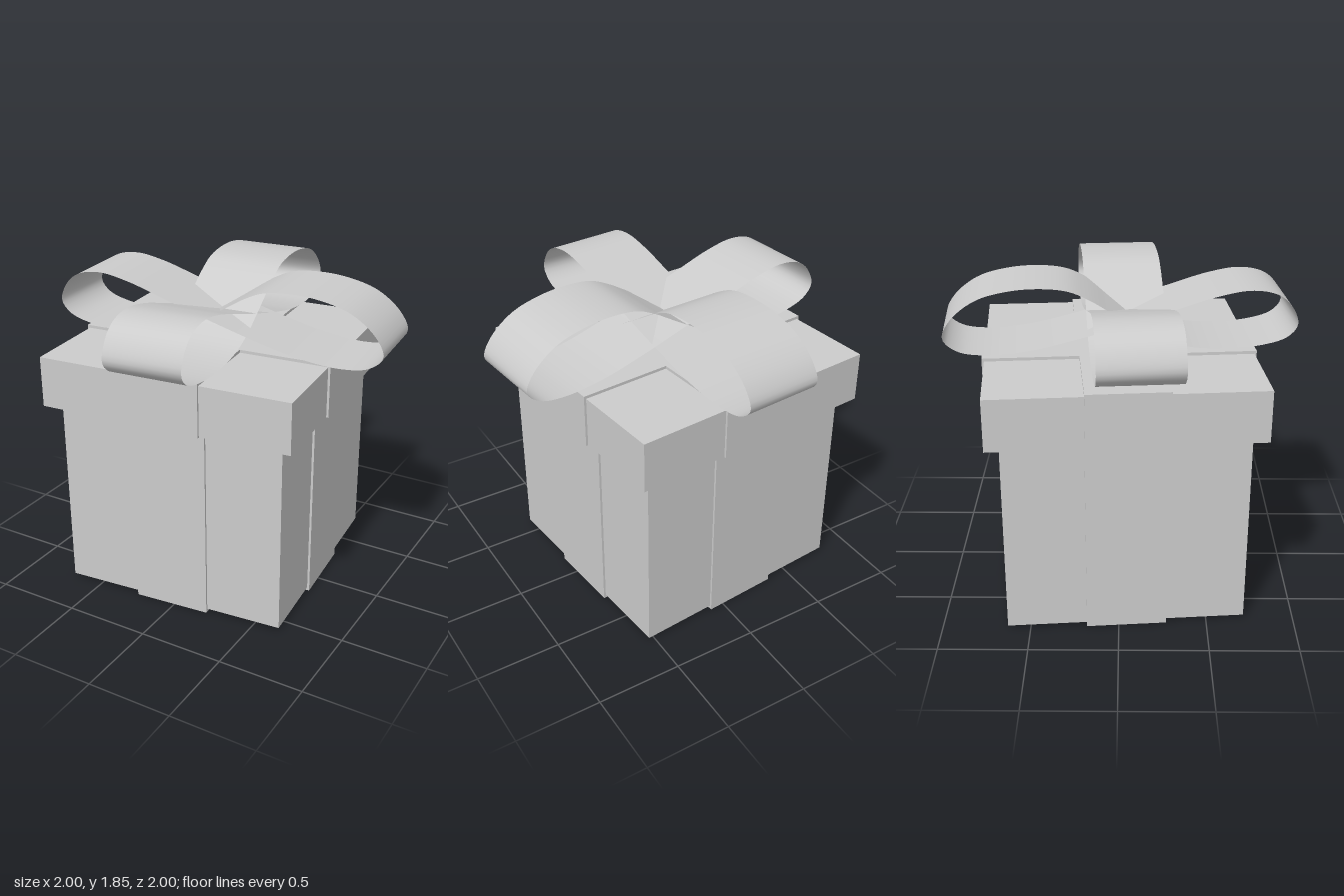
import * as THREE from 'three';

const material = new THREE.MeshStandardMaterial({ color: 0xcccccc });
const ribbonMaterial = new THREE.MeshStandardMaterial({ color: 0xcccccc, side: THREE.DoubleSide });
const HALF_WIDTH = 0.226; // half the width of every ribbon

function add(parent, name, geometry, mat = material) {
  const mesh = new THREE.Mesh(geometry, mat);
  mesh.name = name;
  parent.add(mesh);
  return mesh;
}

// Square block between two heights
function block(half, y0, y1) {
  return new THREE.BoxGeometry(half * 2, y1 - y0, half * 2).translate(0, (y0 + y1) / 2, 0);
}

// Plus-shaped prism: two crossing ribbons wrapped round a block
function cross(half, y0, y1) {
  const w = HALF_WIDTH;
  const corners = [];
  for (let i = 0; i < 4; i++) {
    for (const [x, y] of [[half, -w], [half, w], [w, w]]) {
      const p = new THREE.Vector2(x, y).rotateAround(new THREE.Vector2(), i * Math.PI / 2);
      corners.push(p);
    }
  }
  return new THREE.ExtrudeGeometry(new THREE.Shape(corners), { depth: y1 - y0, bevelEnabled: false })
    .rotateX(-Math.PI / 2).translate(0, y0, 0);
}

// Figure-eight bow: closed profile swept straight across the ribbon width
function bowGeometry() {
  const profile = [
    [0, 1.635], [0.31, 1.55], [0.55, 1.497], [0.79, 1.478], [0.95, 1.507], [1.024, 1.58],
    [0.98, 1.68], [0.84, 1.79], [0.66, 1.84], [0.48, 1.85], [0.33, 1.83], [0.22, 1.78],
    [0.1, 1.705], [-0.02, 1.63], [-0.13, 1.565], [-0.28, 1.507], [-0.5, 1.48], [-0.75, 1.495],
    [-0.89, 1.54], [-0.943, 1.61], [-0.9, 1.72], [-0.82, 1.785], [-0.68, 1.812], [-0.5, 1.785],
    [-0.25, 1.71],
  ].map(([x, y]) => new THREE.Vector3(x, y, 0));
  const points = new THREE.CatmullRomCurve3(profile, true).getSpacedPoints(160);
  const positions = [];
  const index = [];
  points.forEach((p, i) => {
    positions.push(p.x, p.y, HALF_WIDTH, p.x, p.y, -HALF_WIDTH);
    const a = i * 2;
    if (i < points.length - 1) index.push(a, a + 2, a + 1, a + 1, a + 2, a + 3);
  });
  const geometry = new THREE.BufferGeometry();
  geometry.setAttribute('position', new THREE.Float32BufferAttribute(positions, 3));
  geometry.setIndex(index);
  geometry.computeVertexNormals();
  return geometry;
}

export function createModel() {
  const group = new THREE.Group();
  group.name = 'giftBox';

  // Box, lid and the ribbons around them, turned slightly
  const box = new THREE.Group();
  box.name = 'box';
  box.position.set(-0.077, 0, -0.015);
  box.rotation.y = THREE.MathUtils.degToRad(5);
  group.add(box);
  add(box, 'body', block(0.674, 0.02, 1.17));
  add(box, 'bodyRibbon', cross(0.687, 0, 1.165));
  add(box, 'lid', block(0.75, 1.16, 1.455));
  add(box, 'lidRibbon', cross(0.763, 1.158, 1.472));

  // Two crossing figure-eight bows
  const bow = new THREE.Group();
  bow.name = 'bow';
  bow.position.set(-0.041, 0, 0.034);
  bow.rotation.y = box.rotation.y;
  group.add(bow);
  const geometry = bowGeometry();
  const sideBow = add(bow, 'sideLoops', geometry, ribbonMaterial);
  sideBow.position.y = 0.007;
  sideBow.rotation.z = -0.008;
  const depthBow = add(bow, 'frontBackLoops', geometry, ribbonMaterial);
  depthBow.rotation.y = Math.PI / 2;

  return group;
}
